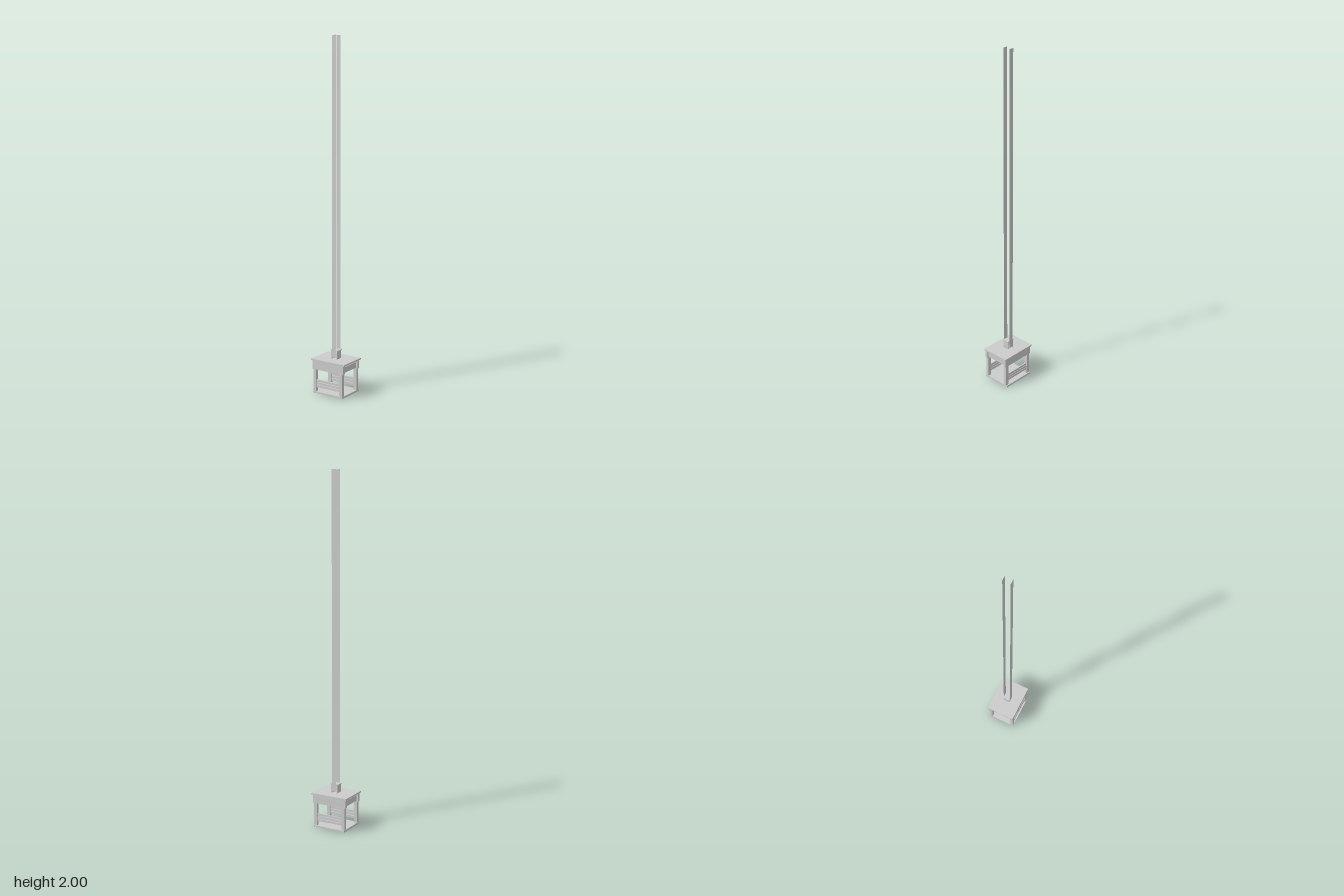
import * as THREE from 'three';

export function createModel() {
  const model = new THREE.Group();
  const grey = new THREE.MeshStandardMaterial({ color: 0xcccccc, flatShading: true });
  const thin = new THREE.MeshStandardMaterial({ color: 0xcccccc, side: THREE.DoubleSide });

  // Box given by its extents along each axis
  function box(name, [x0, x1], [y0, y1], [z0, z1]) {
    const mesh = new THREE.Mesh(new THREE.BoxGeometry(x1 - x0, y1 - y0, z1 - z0), grey);
    mesh.position.set((x0 + x1) / 2, (y0 + y1) / 2, (z0 + z1) / 2);
    mesh.name = name;
    model.add(mesh);
  }
  const around = (c, w) => [c - w / 2, c + w / 2];

  // Lift cage floor and roof
  box('floor', [-0.1, 0.1], [0, 0.011], [-0.086, 0.086]);
  box('roof', [-0.113, 0.113], [0.189, 0.198], [-0.086, 0.086]);

  for (const [end, z] of [['front', 0.075], ['back', -0.07]]) {
    // Deep board under the roof edge
    box(end + 'Fascia', [-0.105, 0.105], [0.139, 0.189], around(z, 0.018));
    // Corner posts
    for (const s of [-1, 1]) {
      box(end + 'Post', around(s * 0.089, 0.02), [0.011, 0.139], around(z, 0.017));
    }
    // Guard rails between the posts
    for (const y of [0.041, 0.057, 0.073]) {
      box(end + 'Rail', [-0.079, 0.079], around(y, 0.013), around(z, 0.008));
    }
  }

  // Side beams joining the fascias
  for (const s of [-1, 1]) {
    box('sideBeam', around(s * 0.089, 0.016), [0.144, 0.177], [-0.061, 0.066]);
  }

  // Pulley bracket on the roof: two cheeks, a cap and an axle
  for (const s of [-1, 1]) {
    box('bracketCheek', around(s * 0.018, 0.005), [0.198, 0.246], [-0.021, 0.018]);
  }
  box('bracketCap', [-0.026, 0.026], [0.245, 0.25], [-0.021, 0.018]);
  const axle = new THREE.Mesh(new THREE.CylinderGeometry(0.004, 0.004, 0.044, 10), grey);
  axle.rotation.z = Math.PI / 2;
  axle.position.set(0, 0.222, -0.001);
  axle.name = 'bracketAxle';
  model.add(axle);

  // Flat hoisting straps
  for (const z of [-0.023, 0.02]) {
    const strap = new THREE.Mesh(new THREE.PlaneGeometry(0.028, 1.795), thin);
    strap.position.set(0, 1.1025, z);
    strap.name = 'hoistStrap';
    model.add(strap);
  }
  return model;
}
